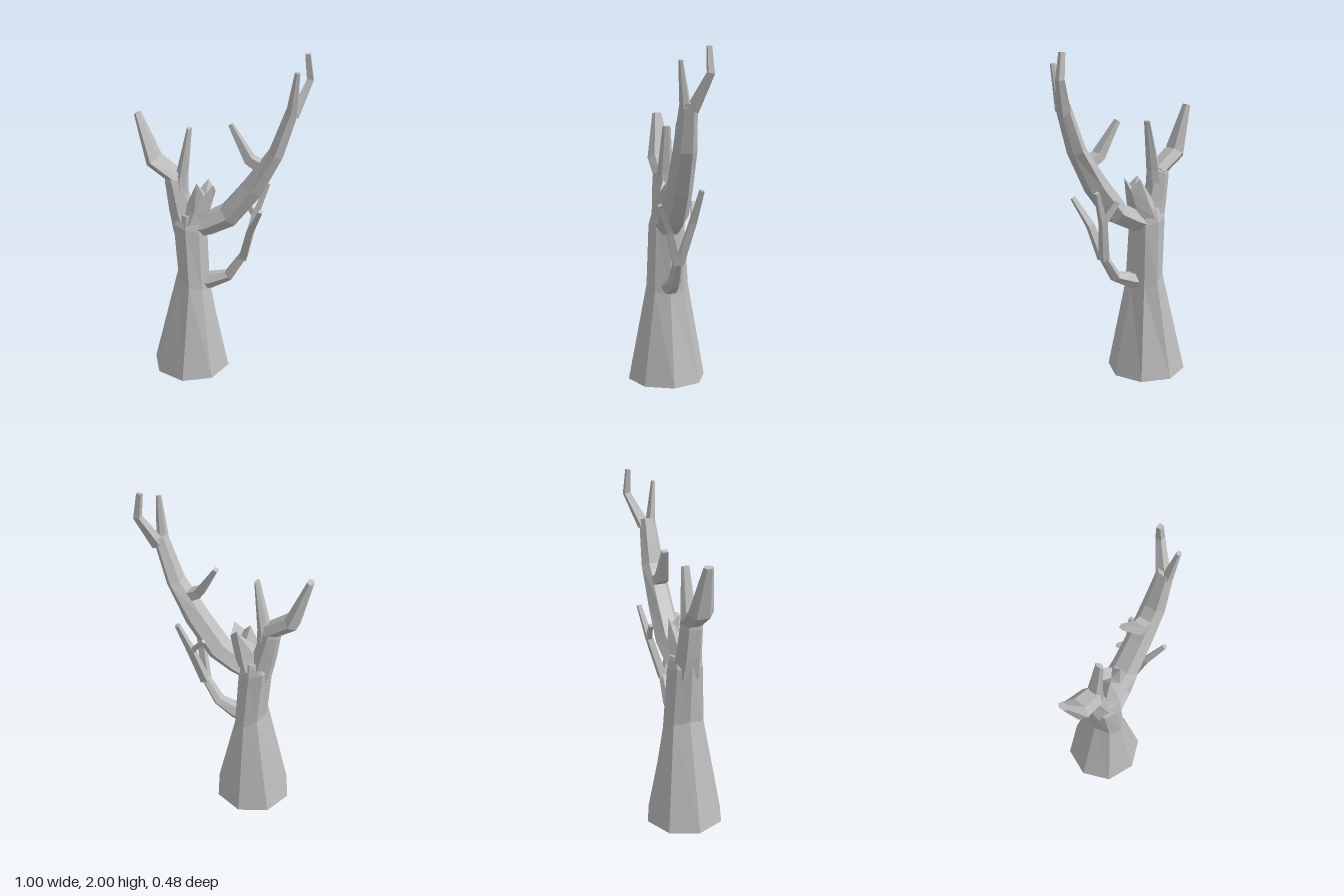
import * as THREE from 'three';

const bark = new THREE.MeshStandardMaterial({ color: 0xbcbcbc, flatShading: true });
bark.name = 'greyBark';

// Skins rings along a path. Each section is [x, y, z, half width, half depth, slope].
// flat keeps the rings level; jag breaks the top ring into splinters.
function limb(sections, sides = 6, { flat = false, jag = 0 } = {}) {
  const phase = sides === 4 ? Math.PI / 4 : Math.PI / 2;
  const angles = Array.from({ length: sides }, (_, k) => phase + k * 2 * Math.PI / sides);
  const maxCos = Math.max(...angles.map(Math.cos));
  const maxSin = Math.max(...angles.map(Math.sin));
  const centres = sections.map(s => new THREE.Vector3(s[0], s[1], s[2]));
  const last = sections.length - 1;
  const zAxis = new THREE.Vector3(0, 0, 1);
  const rings = sections.map(([, , , w, d, slope = 0], i) => {
    const t = new THREE.Vector3(0, 1, 0);
    if (!flat) {
      t.set(0, 0, 0);
      if (i > 0) t.add(centres[i].clone().sub(centres[i - 1]).normalize());
      if (i < last) t.add(centres[i + 1].clone().sub(centres[i]).normalize());
      t.normalize();
    }
    const n = t.clone().cross(zAxis).normalize();
    const b = n.clone().cross(t);
    return angles.map((a, k) => {
      const side = w * Math.cos(a) / maxCos;
      const p = centres[i].clone().addScaledVector(n, side)
        .addScaledVector(b, d * Math.sin(a) / maxSin);
      p.y += slope * side;
      if (i === last) p.y += jag * (k % 2 ? 1 : -1);
      return p;
    });
  });
  const out = [];
  const tri = (...points) => points.forEach(p => out.push(p.x, p.y, p.z));
  const tip = centres[last].clone();
  tip.y -= jag * 1.5;
  for (let k = 0; k < sides; k++) {
    const m = (k + 1) % sides;
    for (let i = 0; i < last; i++) {
      tri(rings[i][k], rings[i + 1][k], rings[i + 1][m]);
      tri(rings[i][k], rings[i + 1][m], rings[i][m]);
    }
    tri(centres[0], rings[0][k], rings[0][m]);
    tri(tip, rings[last][m], rings[last][k]);
  }
  const geometry = new THREE.BufferGeometry();
  geometry.setAttribute('position', new THREE.Float32BufferAttribute(out, 3));
  geometry.computeVertexNormals();
  return geometry;
}

export function createModel() {
  const tree = new THREE.Group();
  tree.name = 'deadTree';
  const add = (name, ...args) => {
    const mesh = new THREE.Mesh(limb(...args), bark);
    mesh.name = name;
    tree.add(mesh);
  };

  // Flared trunk with a pinched waist
  add('trunk', [
    [-0.187, 0, 0, 0.24, 0.24],
    [-0.165, 0.6, 0, 0.1, 0.13, -0.5],
    [-0.185, 0.97, 0, 0.105, 0.112, -0.25],
    [-0.18, 1.05, 0, 0.075, 0.09],
  ], 8, { flat: true });

  // Broken stump in the crown
  add('brokenStump', [
    [-0.165, 1.0, 0, 0.075, 0.108],
    [-0.135, 1.08, 0, 0.07, 0.09],
    [-0.085, 1.21, 0, 0.05, 0.06],
  ], 6, { flat: true, jag: 0.03 });

  // Great limb, forked at its end
  add('greatLimb', [
    [-0.16, 0.95, 0, 0.05, 0.08],
    [-0.07, 0.985, 0, 0.06, 0.085],
    [0.05, 1.05, 0, 0.065, 0.085],
    [0.19, 1.23, 0, 0.062, 0.077],
    [0.32, 1.45, 0, 0.043, 0.07],
    [0.405, 1.71, 0, 0.034, 0.05],
  ]);
  add('greatLimbFrontTip', [
    [0.4, 1.68, 0.018, 0.032, 0.032],
    [0.43, 1.93, 0.05, 0.014, 0.013],
  ], 6);
  add('greatLimbBackTip', [
    [0.41, 1.67, -0.02, 0.028, 0.028],
    [0.483, 1.86, -0.1, 0.018, 0.018],
    [0.464, 2.0, -0.095, 0.014, 0.012],
  ], 4);
  add('greatLimbTwig', [
    [0.27, 1.35, 0, 0.03, 0.04],
    [0.17, 1.405, 0, 0.026, 0.036],
    [0.055, 1.595, -0.025, 0.012, 0.016],
  ], 4);

  // Left fork of the crown
  add('crownBranch', [
    [-0.205, 0.94, 0, 0.07, 0.095],
    [-0.24, 1.08, 0, 0.062, 0.08],
    [-0.275, 1.25, 0, 0.05, 0.07],
    [-0.29, 1.29, 0, 0.035, 0.055],
  ]);
  add('crownOuterTip', [
    [-0.26, 1.26, 0, 0.04, 0.068],
    [-0.395, 1.36, 0, 0.043, 0.078],
    [-0.485, 1.635, 0, 0.017, 0.03],
  ]);
  add('crownInnerTip', [
    [-0.235, 1.08, 0, 0.035, 0.06],
    [-0.23, 1.27, 0, 0.032, 0.05],
    [-0.18, 1.565, 0, 0.012, 0.025],
  ]);

  // Low branch that splits to the front and back
  add('lowBranch', [
    [-0.12, 0.595, 0, 0.045, 0.06],
    [-0.06, 0.605, 0, 0.045, 0.055],
    [0.052, 0.65, 0, 0.03, 0.042],
    [0.145, 0.8, 0, 0.022, 0.032],
  ]);
  add('lowBranchFrontTip', [
    [0.14, 0.78, 0.008, 0.023, 0.022],
    [0.19, 0.98, 0.06, 0.02, 0.018],
    [0.262, 1.143, 0.13, 0.012, 0.012],
  ], 4);
  add('lowBranchBackTip', [
    [0.14, 0.78, -0.008, 0.023, 0.022],
    [0.195, 1.03, -0.075, 0.02, 0.018],
    [0.263, 1.22, -0.112, 0.012, 0.012],
  ], 4);
  add('lowBranchTwig', [
    [0.2, 1.02, -0.075, 0.018, 0.014],
    [0.105, 1.14, -0.096, 0.011, 0.01],
  ], 4);

  return tree;
}
